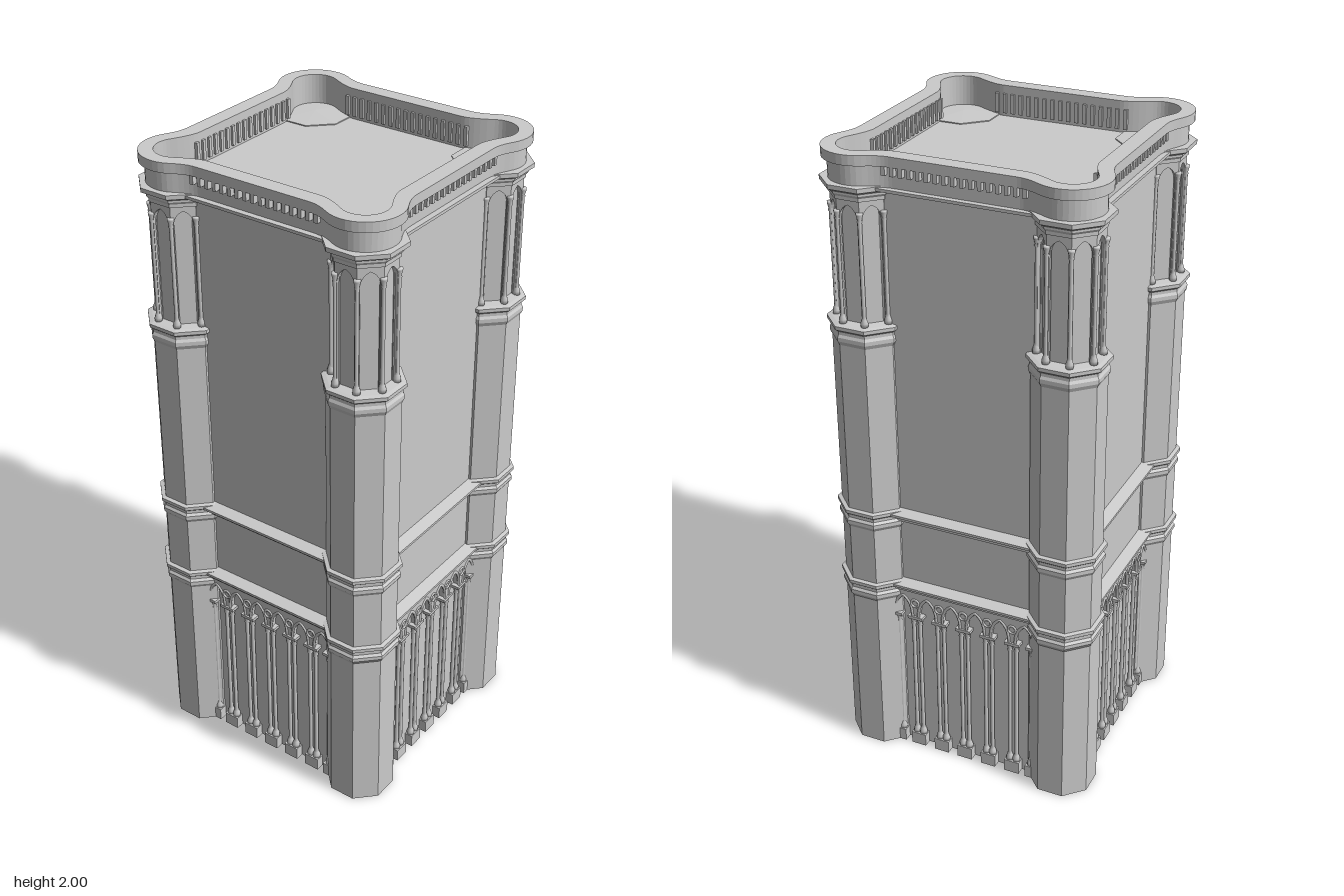
import * as THREE from 'three';

const C = 0.316; // turret centre offset
const mat = new THREE.MeshStandardMaterial({ color: 0xcccccc, flatShading: true });
const smooth = new THREE.MeshStandardMaterial({ color: 0xcccccc });

function add(parent, name, geo, x = 0, y = 0, z = 0, m = mat) {
  const mesh = new THREE.Mesh(geo, m);
  mesh.name = name;
  mesh.position.set(x, y, z);
  parent.add(mesh);
  return mesh;
}

// Regular prism from [apothem, y] pairs, with flat sides facing the axes
function prism(profile, sides) {
  const k = 1 / Math.cos(Math.PI / sides);
  const pts = profile.map(([a, y]) => new THREE.Vector2(a * k, y));
  return new THREE.LatheGeometry(pts, sides, Math.PI / sides);
}

// Two stacked mouldings around a shaft of apothem a, ending at height top
const bands = (a, top, lower, upper) => [
  [a, top - 0.065], [lower, top - 0.052], [lower, top - 0.04], [a + 0.002, top - 0.032],
  [a + 0.002, top - 0.022], [upper, top - 0.014], [upper, top - 0.003], [a, top],
];

// Square outline with a round lobe on each corner
function lobedOutline(h, r, Path = THREE.Shape) {
  const p = new Path();
  const c30 = Math.cos(Math.PI / 6);
  const px = C + r * c30, pz = C - r / 2;
  const cz = pz - (px - h) * Math.sqrt(3);
  const corner = [];
  const line = new THREE.QuadraticBezierCurve(
    new THREE.Vector2(h, 0.19), new THREE.Vector2(h, cz), new THREE.Vector2(px, pz));
  const blend = line.getPoints(6);
  corner.push(...blend);
  for (let i = 1; i < 16; i++) {
    const t = -Math.PI / 6 + (i / 16) * (Math.PI * 5 / 6);
    corner.push(new THREE.Vector2(C + r * Math.cos(t), C + r * Math.sin(t)));
  }
  corner.push(...blend.map(v => new THREE.Vector2(v.y, v.x)).reverse());
  const all = [];
  for (let k = 0; k < 4; k++)
    for (const v of corner) all.push(v.clone().rotateAround(new THREE.Vector2(), k * Math.PI / 2));
  p.setFromPoints(all);
  p.closePath();
  return p;
}

function lobedRing(outer, inner, height) {
  const s = lobedOutline(...outer);
  s.holes.push(lobedOutline(...inner, THREE.Path));
  return new THREE.ExtrudeGeometry(s, { depth: height, bevelEnabled: false }).rotateX(-Math.PI / 2);
}

// Pointed arch from left springing to right springing
function archPoints(cx, half, spring, apex) {
  const v = (x, y) => new THREE.Vector2(x, y);
  const left = new THREE.QuadraticBezierCurve(
    v(cx - half, spring), v(cx - half, spring + (apex - spring) * 0.75), v(cx, apex)).getPoints(6);
  const right = left.slice(0, -1).reverse().map(p => v(2 * cx - p.x, p.y));
  return [...left, ...right];
}

function columnGeometry(r, y0, y1) {
  const p = [[0, y0], [r * 1.9, y0], [r * 1.9, y0 + 0.012], [r * 1.3, y0 + 0.022], [r, y0 + 0.03], [r, y1 - 0.03],
    [r * 1.4, y1 - 0.026], [r, y1 - 0.022], [r * 1.7, y1 - 0.006], [r * 1.7, y1], [0, y1]];
  return new THREE.LatheGeometry(p.map(([a, b]) => new THREE.Vector2(a, b)), 10);
}

// Octagonal corner turret with an arcaded upper stage
function turret() {
  const g = new THREE.Group();
  g.name = 'cornerTurret';
  const a = 0.1;
  add(g, 'turretShaft', prism([
    [0, 0], [a, 0], ...bands(a, 0.622, 0.108, 0.112), ...bands(a, 0.876, 0.108, 0.112),
    ...bands(a, 1.487, 0.106, 0.112), [0.072, 1.49], [0.072, 1.86], [0.09, 1.862], [0.09, 1.872],
    [0.096, 1.88], [0.096, 1.886], [0.111, 1.895], [0.111, 1.908], [0, 1.912],
  ], 8));
  const ap = 0.086, half = ap * Math.tan(Math.PI / 8);
  const s = new THREE.Shape();
  s.setFromPoints([
    new THREE.Vector2(half, 1.487), new THREE.Vector2(half, 1.87),
    new THREE.Vector2(-half, 1.87), new THREE.Vector2(-half, 1.487),
    new THREE.Vector2(-0.028, 1.487), ...archPoints(0, 0.028, 1.8, 1.848), new THREE.Vector2(0.028, 1.487),
  ]);
  const frame = new THREE.ExtrudeGeometry(s, { depth: 0.014, bevelEnabled: false }).translate(0, 0, ap - 0.014);
  const shaft = columnGeometry(0.006, 1.487, 1.83);
  const r = (ap - 0.001) / Math.cos(Math.PI / 8);
  for (let i = 0; i < 8; i++) {
    const t = i * Math.PI / 4;
    add(g, 'turretArch', frame).rotation.y = t;
    add(g, 'turretColonette', shaft, r * Math.sin(t + Math.PI / 8), 0, r * Math.cos(t + Math.PI / 8), smooth);
  }
  return g;
}

// Blind arcade and parapet corbels of one side
function facade() {
  const g = new THREE.Group();
  g.name = 'facade';
  const pitch = 0.083, half = 0.031;
  const pts = [new THREE.Vector2(0.25, 0.6), new THREE.Vector2(-0.25, 0.6), new THREE.Vector2(-0.25, 0.5)];
  for (let i = 0; i < 6; i++) {
    const cx = (i - 2.5) * pitch;
    const arch = archPoints(cx, half, 0.5, 0.572);
    pts.push(...arch);
    const path = new THREE.CatmullRomCurve3(arch.map(p => new THREE.Vector3(p.x, p.y, 0.37)));
    add(g, 'archMoulding', new THREE.TubeGeometry(path, 16, 0.005, 5), 0, 0, 0, smooth);
  }
  pts.push(new THREE.Vector2(0.25, 0.5));
  add(g, 'arcadePlate', new THREE.ExtrudeGeometry(new THREE.Shape(pts), { depth: 0.025, bevelEnabled: false }), 0, 0, 0.345);

  const column = columnGeometry(0.0065, 0.04, 0.495);
  for (let i = -3; i <= 3; i++) {
    const end = Math.abs(i) === 3;
    const x = end ? Math.sign(i) * 0.228 : i * pitch;
    for (const dx of end ? [0] : [-0.011, 0.011]) add(g, 'arcadeColumn', column, x + dx, 0, 0.362, smooth);
    add(g, 'columnPlinth', new THREE.BoxGeometry(end ? 0.03 : 0.05, 0.042, 0.034), x, 0.021, 0.36);
    add(g, 'columnAbacus', new THREE.BoxGeometry(end ? 0.03 : 0.05, 0.01, 0.032), x, 0.497, 0.36);
    if (!end) add(g, 'spandrelRosette', new THREE.TorusGeometry(0.013, 0.004, 5, 14), x, 0.55, 0.371, smooth);
  }
  // Corbels below the rim and teeth on its inner face
  for (let i = -8; i <= 8; i++) {
    const x = i * 0.0262;
    add(g, 'corbel', new THREE.BoxGeometry(0.012, 0.028, 0.018), x, 1.957, 0.379);
    add(g, 'parapetTooth', new THREE.BoxGeometry(0.011, 0.06, 0.01), x, 1.945, 0.338);
  }
  return g;
}

export function createModel() {
  const model = new THREE.Group();
  model.name = 'tower';

  // Square body with string courses
  const w = 0.35;
  add(model, 'towerBody', prism([
    [0, 0], [w, 0], [w, 0.59], [0.375, 0.592], [0.375, 0.602], [0.388, 0.607], [0.388, 0.615], [w, 0.624],
    [w, 0.834], [0.366, 0.838], [0.366, 0.848], [0.388, 0.86], [0.388, 0.868], [w, 0.876],
    [w, 1.886], [0.39, 1.896], [0.39, 1.905], [0, 1.905],
  ], 4));

  for (const sx of [-1, 1]) for (const sz of [-1, 1]) {
    const t = turret();
    t.position.set(sx * C, 0, sz * C);
    model.add(t);
  }
  for (let k = 0; k < 4; k++) {
    const f = facade();
    f.rotation.y = k * Math.PI / 2;
    model.add(f);
  }

  // Lobed parapet and overhanging rim
  add(model, 'parapetWall', lobedRing([0.372, 0.095], [0.34, 0.068], 0.075), 0, 1.9, 0);
  add(model, 'parapetRim', lobedRing([0.39, 0.111], [0.34, 0.068], 0.03), 0, 1.97, 0);
  return model;
}
